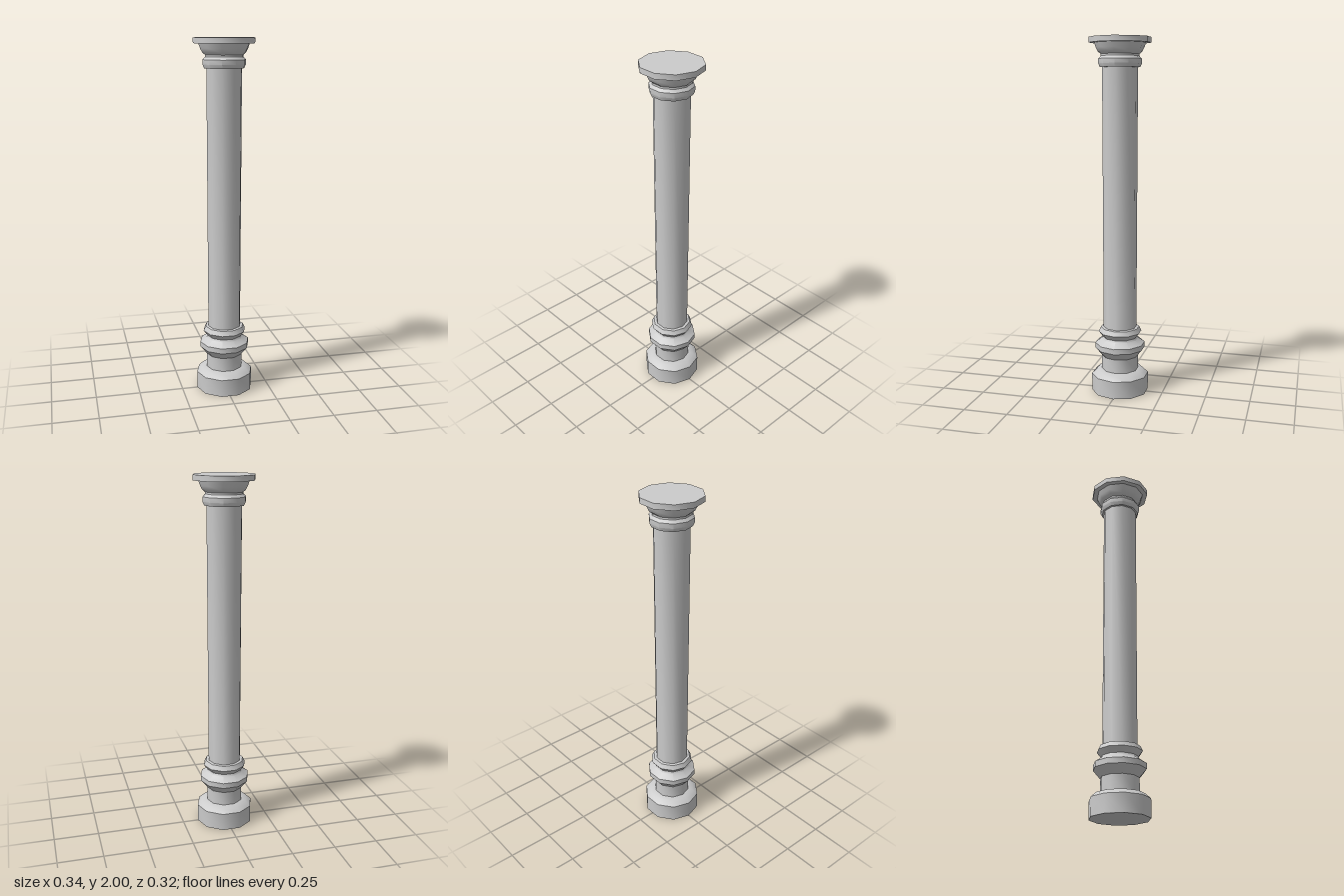
import * as THREE from 'three';
import { toCreasedNormals } from 'three/addons/utils/BufferGeometryUtils.js';

const SIDES = 10;
const material = new THREE.MeshStandardMaterial({ color: 0xcccccc });

// Ten-sided turned part from [radius, height] pairs, with corners on the x axis
function turned(name, profile) {
  const points = profile.map(([r, y]) => new THREE.Vector2(r, y));
  const lathe = new THREE.LatheGeometry(points, SIDES, Math.PI / 2);
  const mesh = new THREE.Mesh(toCreasedNormals(lathe, 0.66), material);
  mesh.name = name;
  return mesh;
}

export function createModel() {
  const column = new THREE.Group();
  column.name = 'column';

  column.add(
    // Plinth with bevelled top edge
    turned('plinth', [[0, 0], [0.162, 0], [0.162, 0.1], [0.135, 0.125], [0.104, 0.13]]),
    // Neck and the two rings above it
    turned('baseMoulding', [
      [0.104, 0.13], [0.104, 0.21], [0.142, 0.255], [0.142, 0.285], [0.105, 0.31],
      [0.1, 0.322], [0.123, 0.352], [0.11, 0.378], [0.094, 0.38],
    ]),
    // Slightly widening shaft
    turned('shaft', [[0.094, 0.38], [0.098, 1.84]]),
    // Ring under the capital
    turned('collar', [
      [0.098, 1.84], [0.11, 1.84], [0.119, 1.86], [0.119, 1.885], [0.105, 1.9], [0.105, 1.91],
    ]),
    // Flared capital
    turned('capital', [[0.105, 1.91], [0.12, 1.922], [0.131, 1.943], [0.141, 1.97]]),
    // Flat top slab
    turned('abacus', [[0.141, 1.97], [0.17, 1.97], [0.17, 2], [0, 2]]),
  );
  return column;
}
